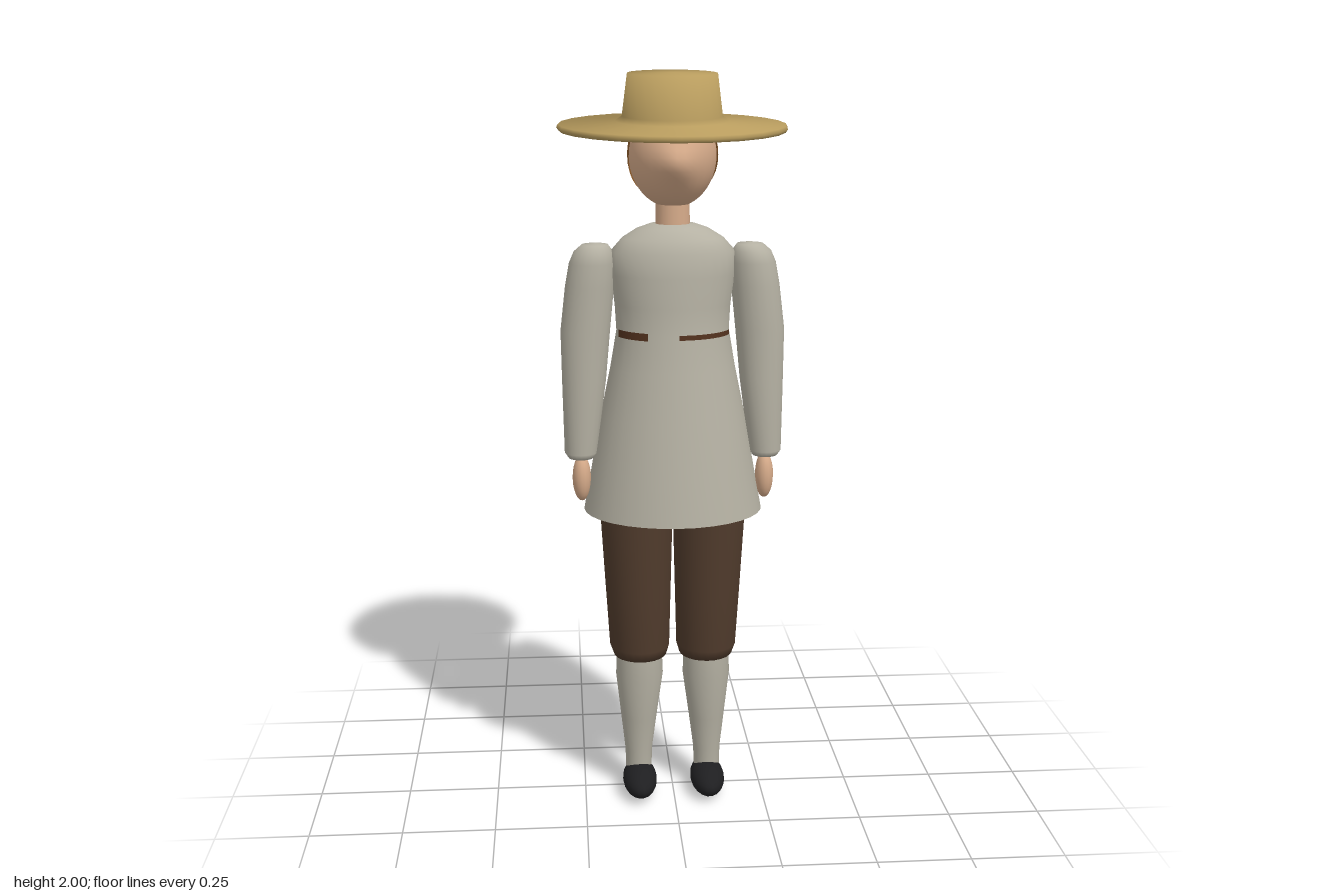
import * as THREE from 'three';

const mat = (name, color, side = THREE.FrontSide) => {
  const m = new THREE.MeshStandardMaterial({ color, side });
  m.name = name;
  return m;
};

// Smooth skin over elliptical rings [y, rx, rz, x, z], listed bottom to top
function loft(rings, sides = 24) {
  const pos = [], index = [];
  rings.forEach(([y, rx, rz, x = 0, z = 0], r) => {
    for (let i = 0; i < sides; i++) {
      const a = (i / sides) * Math.PI * 2;
      pos.push(x + rx * Math.sin(a), y, z + rz * Math.cos(a));
      if (r === rings.length - 1) continue;
      const p = r * sides + i, q = r * sides + ((i + 1) % sides);
      index.push(p, q, p + sides, q, q + sides, p + sides);
    }
  });
  const g = new THREE.BufferGeometry();
  g.setAttribute('position', new THREE.Float32BufferAttribute(pos, 3));
  g.setIndex(index);
  g.computeVertexNormals();
  return g;
}

// Egg-shaped head with a soft pointed nose
function headGeometry() {
  const g = new THREE.SphereGeometry(1, 32, 24).scale(0.115, 0.137, 0.13);
  const p = g.attributes.position;
  for (let i = 0; i < p.count; i++) {
    const x = p.getX(i), y = p.getY(i), z = p.getZ(i);
    if (z > 0) p.setZ(i, z + 0.025 * Math.exp(-((x / 0.05) ** 2) - ((y + 0.015) / 0.045) ** 2));
  }
  g.computeVertexNormals();
  return g;
}

// Cap of hair around the back of the head, cut shorter towards the nape
function hairGeometry() {
  const g = new THREE.SphereGeometry(1, 40, 14, 0, Math.PI * 2, 0, 1);
  g.rotateX(-Math.PI / 2);
  const p = g.attributes.position, n = g.attributes.normal;
  for (let i = 0; i < p.count; i++) {
    const x = p.getX(i), y = p.getY(i);
    const flat = Math.hypot(x, y);
    if (flat < 1e-5) continue;
    const down = Math.max(0, -y / flat);
    const theta = Math.acos(-p.getZ(i)) * THREE.MathUtils.degToRad(103 - 40 * down);
    const s = Math.sin(theta) / flat;
    p.setXYZ(i, x * s, y * s, -Math.cos(theta));
    n.setXYZ(i, x * s, y * s, -Math.cos(theta));
  }
  return g;
}

// Wide flat brim and short crown, turned as one piece
function hatGeometry() {
  const profile = [
    [0, -0.012], [0.297, -0.012], [0.302, -0.004], [0.298, 0.004], [0.15, 0.012],
    [0.132, 0.024], [0.118, 0.133], [0, 0.135],
  ].map(([r, y]) => new THREE.Vector2(r, y));
  const g = new THREE.LatheGeometry(profile, 24);
  const p = g.attributes.position, n = g.attributes.normal;
  // Round off the shading towards the rim
  for (let i = 0; i < p.count; i++) {
    const x = p.getX(i), z = p.getZ(i), r = Math.hypot(x, z);
    if (r < 0.14 || p.getY(i) < 0) continue;
    const v = new THREE.Vector3(x / r, 1.2, z / r).normalize();
    n.setXYZ(i, v.x, v.y, v.z);
  }
  return g;
}

export function createModel() {
  const model = new THREE.Group();
  model.name = 'figure';
  const linen = mat('linen', 0xb5b1a3, THREE.DoubleSide);
  const straw = mat('straw', 0xb89c5e);
  const skin = mat('skin', 0xd6ab8a);
  const hair = mat('hair', 0x8b5a2b, THREE.DoubleSide);
  const brown = mat('darkBrown', 0x503b2c);
  const leather = mat('beltLeather', 0x55331f, THREE.DoubleSide);
  const black = mat('shoeBlack', 0x1f1f21);

  const add = (name, geometry, material, x = 0, y = 0, z = 0) => {
    const mesh = new THREE.Mesh(geometry, material);
    mesh.name = name;
    mesh.position.set(x, y, z);
    model.add(mesh);
    return mesh;
  };

  // Head, hair, neck and hat
  add('head', headGeometry(), skin, 0, 1.79, 0.01);
  add('hair', hairGeometry(), hair, 0, 1.79, 0.009).scale.set(0.119, 0.14, 0.134);
  add('neck', new THREE.CylinderGeometry(0.044, 0.046, 0.14, 20), skin, 0, 1.64, 0.012);
  const hat = add('hat', hatGeometry(), straw, 0, 1.865, 0);
  hat.scale.z = 1.043;
  hat.rotation.x = 0.055;

  // Flared tunic, open at the hem
  add('tunic', loft([
    [0.835, 0.243, 0.213, 0, 0.012], [0.95, 0.222, 0.195, 0, 0.012],
    [1.1, 0.195, 0.17, 0, 0.012], [1.23, 0.168, 0.147, 0, 0.012],
    [1.33, 0.151, 0.131, 0, 0.012], [1.4, 0.155, 0.125, 0, 0.011],
    [1.48, 0.166, 0.124, 0, 0.011], [1.54, 0.166, 0.114, 0, 0.011],
    [1.575, 0.135, 0.096, 0, 0.011], [1.6, 0.095, 0.072, 0, 0.011],
    [1.612, 0.06, 0.05, 0, 0.011], [1.612, 0.035, 0.035, 0, 0.011],
  ], 32), linen);

  // Belt showing in short strips around the waist: [from, to, height] in degrees
  [[3, 72, 0.013], [-72, -28, 0.02], [120, 150, 0.016], [-150, -120, 0.016]].forEach(([a, b, h]) => {
    const rad = THREE.MathUtils.degToRad;
    const strip = new THREE.CylinderGeometry(1, 1, h, 12, 1, true, rad(a), rad(b - a));
    add('beltStrip', strip, leather, 0, 1.328, 0.012).scale.set(0.1545, 1, 0.1345);
  });

  for (const s of [1, -1]) {
    const side = s > 0 ? 'left' : 'right';

    // Sleeve with rounded shoulder and cuff, and hand
    add(side + 'Sleeve', loft([
      [0.983, 0, 0, 0.25 * s, 0.033], [0.985, 0.034, 0.036, 0.25 * s, 0.033],
      [1.0, 0.044, 0.045, 0.25 * s, 0.033], [1.2, 0.059, 0.054, 0.239 * s, 0.024],
      [1.33, 0.066, 0.062, 0.234 * s, 0.018], [1.45, 0.065, 0.067, 0.221 * s, 0.014],
      [1.51, 0.061, 0.067, 0.214 * s, 0.013], [1.54, 0.052, 0.06, 0.21 * s, 0.013],
      [1.558, 0.035, 0.042, 0.206 * s, 0.013], [1.563, 0, 0, 0.205 * s, 0.013],
    ], 20), linen);
    add(side + 'Hand', new THREE.SphereGeometry(1, 16, 12), skin, 0.249 * s, 0.928, 0.034)
      .scale.set(0.025, 0.064, 0.032);

    // Breeches gathered below the knee
    add(side + 'Breeches', loft([
      [0.41, 0, 0, 0.092 * s, 0.014], [0.412, 0.074, 0.084, 0.092 * s, 0.014],
      [0.44, 0.083, 0.093, 0.093 * s, 0.014], [0.6, 0.09, 0.1, 0.096 * s, 0.014],
      [0.835, 0.1, 0.112, 0.1 * s, 0.013], [0.95, 0.1, 0.112, 0.1 * s, 0.013],
      [1.0, 0.08, 0.09, 0.09 * s, 0.013], [1.01, 0, 0, 0.09 * s, 0.013],
    ]), brown);

    // Stocking and shoe
    add(side + 'Stocking', loft([
      [0.05, 0.036, 0.038, 0.097 * s, 0.01], [0.12, 0.038, 0.04, 0.097 * s, 0.01],
      [0.22, 0.05, 0.052, 0.096 * s, 0.011], [0.35, 0.066, 0.068, 0.094 * s, 0.013],
      [0.45, 0.062, 0.068, 0.094 * s, 0.013],
    ], 20), linen);
    add(side + 'Shoe', new THREE.SphereGeometry(1, 18, 12), black, 0.096 * s, 0.042, 0.047)
      .scale.set(0.048, 0.042, 0.103);
  }
  return model;
}
